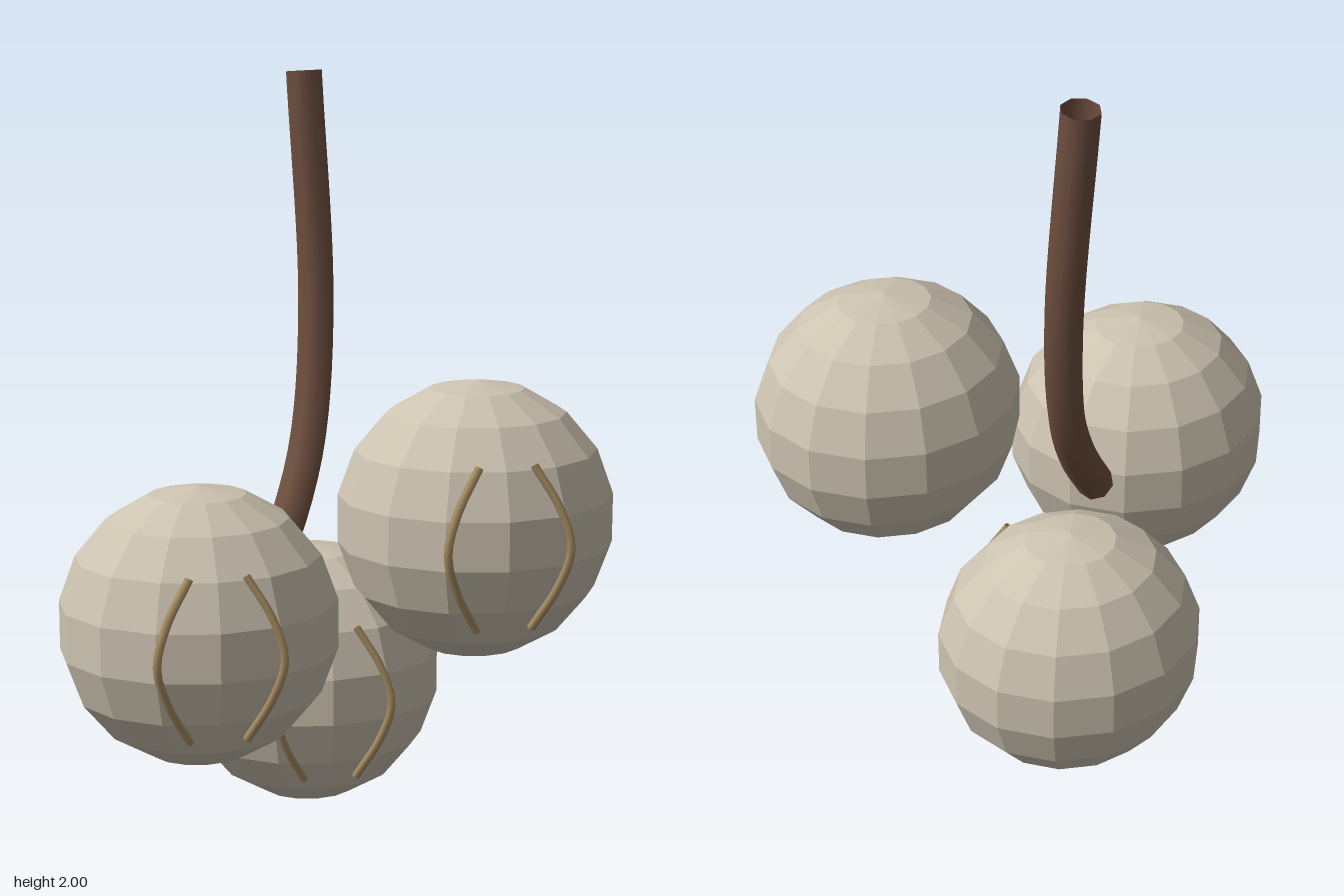
import * as THREE from 'three';

const berryMat = new THREE.MeshStandardMaterial({ name: 'pale berry', color: 0xcdc3b1, flatShading: true });
const stemMat = new THREE.MeshStandardMaterial({ name: 'brown stem', color: 0x6e4f3f, side: THREE.DoubleSide });
const veinMat = new THREE.MeshStandardMaterial({ name: 'tan vein', color: 0xa68c62, side: THREE.DoubleSide });

const v = (p) => new THREE.Vector3(...p);

// Open tube along a smooth path
function tube(name, points, segments, radius, sides, material) {
  const curve = new THREE.CatmullRomCurve3(points.map(v));
  const mesh = new THREE.Mesh(new THREE.TubeGeometry(curve, segments, radius, sides, false), material);
  mesh.name = name;
  return mesh;
}

// Faceted berry, slightly flattened front to back, with two bowed veins
function makeBerry(name, x, y, z) {
  const berry = new THREE.Group();
  berry.name = name;
  const geometry = new THREE.SphereGeometry(0.36, 14, 9);
  geometry.rotateY(Math.PI / 2);
  geometry.scale(1, 1, 0.9);
  const body = new THREE.Mesh(geometry, berryMat);
  body.name = 'berryBody';
  berry.add(body);
  for (const side of [-1, 1]) {
    berry.add(tube(side < 0 ? 'rightVein' : 'leftVein', [
      [side * 0.07, 0.195, 0.284],
      [side * 0.13, 0.09, 0.31],
      [side * 0.157, -0.01, 0.322],
      [side * 0.13, -0.11, 0.307],
      [side * 0.07, -0.222, 0.276],
    ], 16, 0.011, 6, veinMat));
  }
  berry.position.set(x, y, z);
  return berry;
}

export function createModel() {
  const model = new THREE.Group();
  model.name = 'berryCluster';

  // Curved hanging stem
  model.add(tube('stem', [
    [-0.13, 0.7, -0.04],
    [-0.05, 0.86, -0.115],
    [0.01, 1.05, -0.185],
    [0.043, 1.4, -0.25],
    [0.02, 1.995, -0.293],
  ], 24, 0.05, 8, stemMat));

  // Three berries
  model.add(makeBerry('rightBerry', -0.362, 0.65, 0.23));
  model.add(makeBerry('leftBerry', 0.358, 0.89, 0.23));
  model.add(makeBerry('backBerry', 0.022, 0.362, -0.248));
  return model;
}
